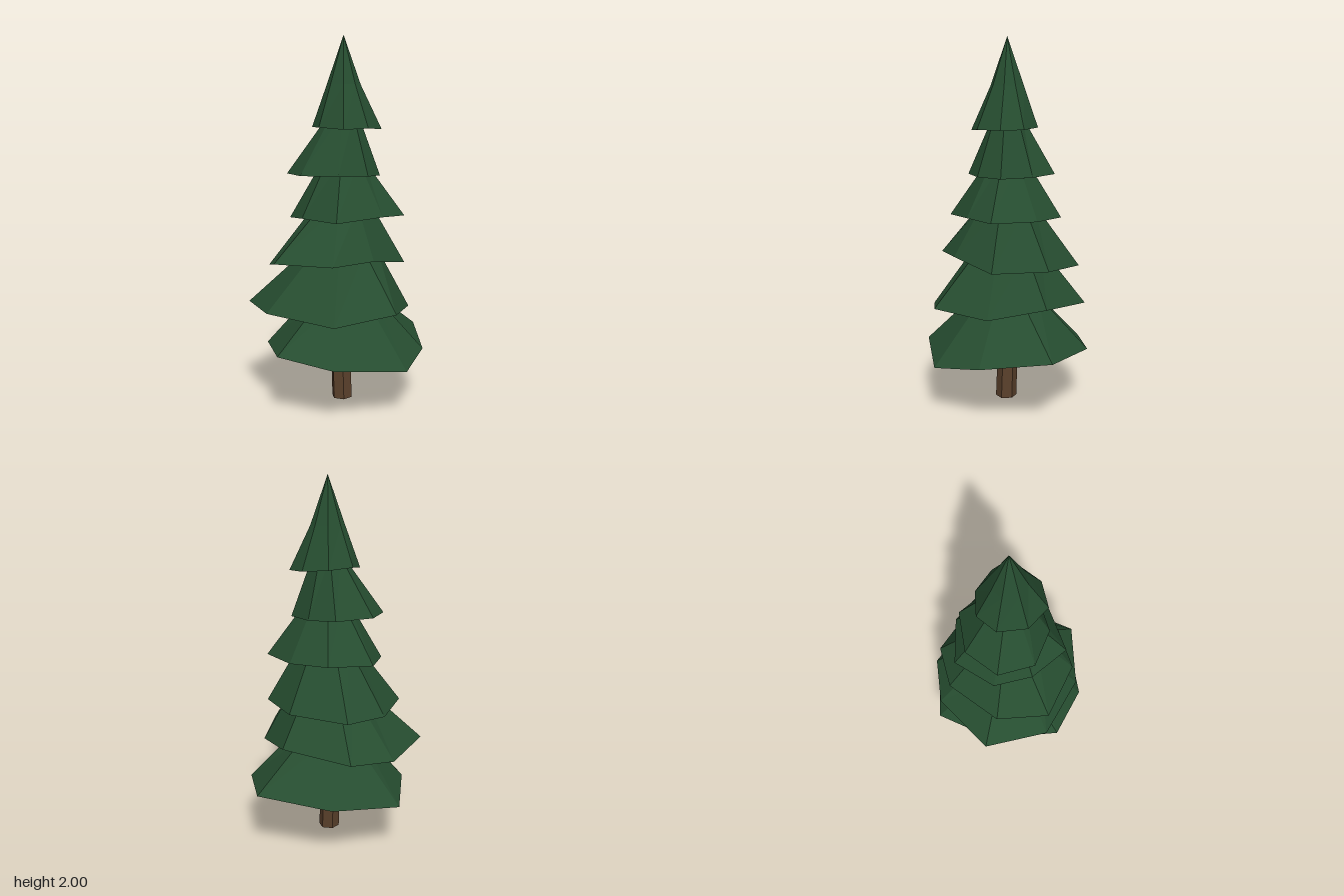
import * as THREE from 'three';

const needles = new THREE.MeshStandardMaterial({ color: 0x264d30, flatShading: true });
needles.name = 'needleGreen';
const bark = new THREE.MeshStandardMaterial({ color: 0x5a402b, flatShading: true });
bark.name = 'barkBrown';

// One drooping skirt of branches: eight uneven rim corners [x, y, z], a small
// upper ring facing the same way, a peak and a closed underside.
function makeTier(name, corners, ringY, ringRadius, peakY) {
  const n = corners.length;
  const axis = [0.015, 0.005];
  const rim = corners.map((c) => new THREE.Vector3(...c));
  const ring = rim.map((p) => {
    const angle = Math.atan2(p.z - axis[1], p.x - axis[0]);
    return new THREE.Vector3(
      axis[0] + ringRadius * Math.cos(angle), ringY, axis[1] + ringRadius * Math.sin(angle));
  });
  const peak = new THREE.Vector3(axis[0], peakY, axis[1]);
  const meanY = rim.reduce((sum, p) => sum + p.y, 0) / n;
  const under = new THREE.Vector3(axis[0], meanY, axis[1]);

  const points = [];
  for (let i = 0; i < n; i++) {
    const j = (i + 1) % n;
    points.push(rim[i], ring[i], rim[j], rim[j], ring[i], ring[j]); // slope
    points.push(ring[i], peak, ring[j]); // top
    points.push(under, rim[i], rim[j]); // underside
  }
  const geometry = new THREE.BufferGeometry().setFromPoints(points);
  geometry.computeVertexNormals();
  const mesh = new THREE.Mesh(geometry, needles);
  mesh.name = name;
  return mesh;
}

// Six-sided trunk, leaning slightly
function makeTrunk() {
  const height = 0.5;
  const geometry = new THREE.CylinderGeometry(0.056, 0.058, height, 6);
  geometry.translate(0, height / 2, 0);
  const pos = geometry.attributes.position;
  for (let i = 0; i < pos.count; i++) {
    pos.setX(i, pos.getX(i) + 0.016 - 0.04 * pos.getY(i));
  }
  geometry.translate(0, 0, 0.017);
  geometry.computeVertexNormals();
  const mesh = new THREE.Mesh(geometry, bark);
  mesh.name = 'trunk';
  return mesh;
}

export function createModel() {
  const tree = new THREE.Group();
  tree.name = 'pineTree';
  tree.add(makeTrunk());

  // Branch tiers from the ground up; corners run left, front, right, back
  tree.add(makeTier('branchTier1', [
    [0.49, 0.265, -0.02], [0.34, 0.31, 0.345], [0.07, 0.35, 0.5], [-0.29, 0.305, 0.31],
    [-0.49, 0.275, 0.01], [-0.3, 0.31, -0.32], [0.07, 0.345, -0.5], [0.365, 0.305, -0.27],
  ], 0.6, 0.17, 0.75));

  tree.add(makeTier('branchTier2', [
    [0.46, 0.57, 0.03], [0.31, 0.52, 0.32], [-0.02, 0.56, 0.5], [-0.365, 0.54, 0.38],
    [-0.455, 0.53, 0], [-0.35, 0.545, -0.23], [0.01, 0.585, -0.365], [0.29, 0.54, -0.23],
  ], 0.86, 0.185, 1.0));

  tree.add(makeTier('branchTier3', [
    [0.32, 0.83, 0.06], [0.27, 0.82, 0.295], [0, 0.82, 0.465], [-0.25, 0.76, 0.32],
    [-0.38, 0.76, 0.01], [-0.315, 0.76, -0.215], [-0.02, 0.78, -0.34], [0.26, 0.78, -0.225],
  ], 1.1, 0.15, 1.22));

  tree.add(makeTier('branchTier4', [
    [0.29, 1.05, -0.03], [0.24, 1.035, 0.245], [0, 1.04, 0.28], [-0.2, 1.02, 0.21],
    [-0.315, 1.03, -0.01], [-0.185, 1.04, -0.22], [0.02, 1.04, -0.29], [0.26, 1.04, -0.22],
  ], 1.34, 0.11, 1.44));

  tree.add(makeTier('branchTier5', [
    [0.208, 1.26, 0], [0.165, 1.265, 0.17], [0, 1.265, 0.29], [-0.19, 1.265, 0.235],
    [-0.268, 1.27, 0.045], [-0.185, 1.27, -0.16], [-0.02, 1.26, -0.19], [0.15, 1.255, -0.14],
  ], 1.58, 0.08, 1.68));

  tree.add(makeTier('treeTop', [
    [0.208, 1.51, 0], [0.165, 1.505, 0.135], [0.02, 1.515, 0.18], [-0.12, 1.515, 0.115],
    [-0.165, 1.53, 0], [-0.1, 1.52, -0.12], [0.03, 1.51, -0.18], [0.155, 1.505, -0.145],
  ], 1.74, 0.092, 2));

  return tree;
}
